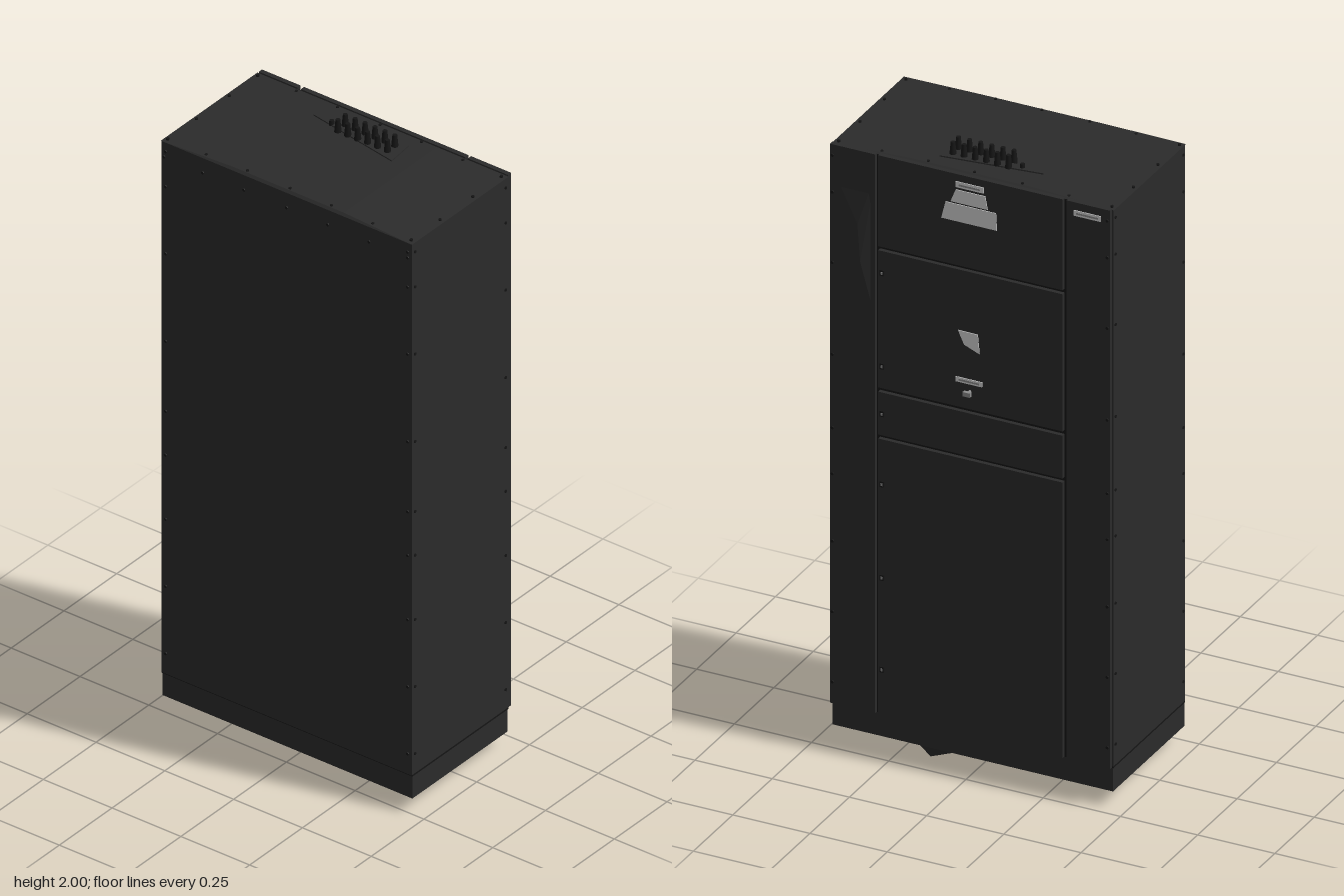
import * as THREE from 'three';
import { ConvexGeometry } from 'three/addons/geometries/ConvexGeometry.js';

const flat = (name, color) => {
  const m = new THREE.MeshStandardMaterial({ color });
  m.name = name;
  return m;
};

export function createModel() {
  const charcoal = flat('charcoal steel', 0x2b2b2b);
  const black = flat('black seam', 0x151515);
  const white = flat('label white', 0xd2d2d2);
  const grey = flat('latch grey', 0x8c8c8c);

  const root = new THREE.Group();
  root.name = 'cabinet';
  const add = (name, geo, mat, parent = root) => {
    const mesh = new THREE.Mesh(geo, mat);
    mesh.name = name;
    parent.add(mesh);
    return mesh;
  };
  const group = (name) => {
    const g = new THREE.Group();
    g.name = name;
    root.add(g);
    return g;
  };
  // Box given by its minimum and maximum on each axis
  const box = (name, mat, x0, x1, y0, y1, z0, z1, parent) => {
    const m = add(name, new THREE.BoxGeometry(x1 - x0, y1 - y0, z1 - z0), mat, parent);
    m.position.set((x0 + x1) / 2, (y0 + y1) / 2, (z0 + z1) / 2);
    return m;
  };
  const hull = (name, mat, points, parent) =>
    add(name, new ConvexGeometry(points.map((p) => new THREE.Vector3(...p))), mat, parent);

  // Main enclosure with a very shallow crown on the roof
  box('body', charcoal, -0.248, 0.207, 0.13, 1.95, -0.455, 0.455);
  hull('roof', charcoal, [
    [-0.248, 1.95, -0.458], [0.21, 1.95, -0.458], [-0.248, 1.95, 0.455], [0.21, 1.95, 0.455],
    [-0.24, 1.957, -0.2], [0.2, 1.957, -0.2], [-0.24, 1.957, 0.2], [0.2, 1.957, 0.2],
  ]);
  box('panelSeam', black, 0.206, 0.212, 0.13, 1.95, -0.45, 0.45);

  // Door side: two full-height strips and four panels between them
  const doors = group('doorPanels');
  box('leftStrip', charcoal, 0.21, 0.225, 0.13, 1.955, 0.307, 0.453, doors);
  box('rightStrip', charcoal, 0.21, 0.225, 0.13, 1.955, -0.453, -0.313, doors);
  for (const [name, y0, y1] of [
    ['lowerDoor', 0.13, 1.03], ['middlePanel', 1.043, 1.183],
    ['upperDoor', 1.197, 1.645], ['headPanel', 1.658, 1.955],
  ]) box(name, charcoal, 0.21, 0.225, y0, y1, -0.3, 0.297, doors);

  // Slight bulge in the left strip
  hull('stripBulge', charcoal, [
    [0.22, 1.42, 0.31], [0.22, 1.42, 0.45], [0.22, 1.88, 0.31], [0.22, 1.88, 0.45],
    [0.236, 1.6, 0.35], [0.234, 1.72, 0.36],
  ], doors);

  // Plinth: open frame with cross bars
  const plinth = group('plinth');
  for (const s of [-1, 1]) {
    box('plinthEnd', charcoal, -0.245, 0.207, 0.05, 0.13, s * 0.4375 - 0.0165, s * 0.4375 + 0.0165, plinth);
  }
  box('plinthRail', charcoal, -0.245, -0.215, 0.05, 0.13, -0.425, 0.425, plinth);
  box('plinthRail', charcoal, 0.177, 0.207, 0.05, 0.13, -0.425, 0.425, plinth);
  for (const z of [-0.3, -0.15, 0, 0.15, 0.3]) {
    box('crossBar', charcoal, -0.22, 0.18, 0.065, 0.13, z - 0.03, z + 0.03, plinth);
  }
  box('plinthFloor', black, -0.22, 0.18, 0.122, 0.131, -0.42, 0.42, plinth);
  box('plinthSeam', black, -0.247, 0.209, 0.127, 0.132, -0.456, 0.456, plinth);

  // Bent plate hanging under the plinth
  hull('underPlate', charcoal, [
    [-0.24, 0.05, 0.11], [0.17, 0, 0.155], [0.2, 0.05, 0.06], [0.2, 0.05, 0.18],
  ], plinth);

  // Cable gland plate and studs on the roof
  const glands = group('cableGlands');
  const plate = new THREE.Shape([[0.118, 0.183], [0.06, -0.145], [0.155, -0.135]]
    .map(([x, y]) => new THREE.Vector2(x, y)));
  const plateGeo = new THREE.ExtrudeGeometry(plate, { depth: 0.006, bevelEnabled: false });
  plateGeo.rotateX(-Math.PI / 2);
  add('glandPlate', plateGeo, charcoal, glands).position.y = 1.955;
  const studGeo = new THREE.CylinderGeometry(0.007, 0.011, 0.042, 8);
  const stud = (x, z) => add('stud', studGeo, black, glands).position.set(x, 1.979, z);
  for (let i = 0; i < 6; i++) for (const x of [0.092, 0.127]) stud(x, -0.075 + i * 0.036);
  add('shortStud', studGeo, black, glands).position.set(0.111, 1.952, -0.112);

  // Small screws around roof, ends, back and doors
  const screws = group('screws');
  const screwGeo = new THREE.CylinderGeometry(0.005, 0.005, 0.006, 6);
  const screw = (x, y, z, axis) => {
    const m = add('screw', screwGeo, black, screws);
    m.position.set(x, y, z);
    if (axis === 'x') m.rotation.z = Math.PI / 2;
    if (axis === 'z') m.rotation.x = Math.PI / 2;
  };
  for (const z of [-0.445, -0.305, -0.155, 0, 0.15, 0.3, 0.44]) {
    const y = Math.abs(z) < 0.2 ? 1.957 : 1.953;
    screw(-0.232, y, z);
    screw(0.195, y, z);
    screw(-0.248, 1.9, z, 'x');
  }
  for (const z of [-0.445, 0.44]) for (const x of [-0.095, 0.06]) screw(x, 1.952, z);
  for (const y of [0.2, 0.43, 0.66, 0.88, 1.03, 1.27, 1.57, 1.8, 1.92]) {
    for (const s of [-1, 1]) {
      for (const x of [-0.235, 0.195]) screw(x, y, s * 0.455, 'z');
      screw(-0.248, y, s * 0.44, 'x');
      screw(0.225, y, s * 0.445, 'x');
    }
  }

  // Door hinge pins
  for (const y of [0.28, 0.58, 0.885, 1.115, 1.27, 1.575]) {
    box('hingeDot', black, 0.224, 0.23, y - 0.009, y + 0.009, 0.277, 0.291, screws);
    box('hingePin', grey, 0.228, 0.232, y - 0.004, y + 0.004, 0.28, 0.286, screws);
  }

  // Labels: thin plates drawn as [z, y] outlines on the door side
  const labels = group('labels');
  const label = (name, pts) => {
    const s = new THREE.Shape(pts.map(([z, y]) => new THREE.Vector2(-z, y)));
    const g = new THREE.ExtrudeGeometry(s, { depth: 0.003, bevelEnabled: false });
    g.rotateY(Math.PI / 2);
    add(name, g, white, labels).position.x = 0.2245;
  };
  const strip = (name, z0, z1, y0, y1) => label(name, [[z0, y0], [z1, y0], [z1, y1], [z0, y1]]);
  strip('headLabelTop', 0.045, -0.045, 1.913, 1.932);
  label('headLabelMiddle', [[0.062, 1.863], [-0.058, 1.863], [-0.05, 1.905], [0.045, 1.905]]);
  label('headLabelBottom', [[0.092, 1.802], [-0.088, 1.802], [-0.085, 1.858], [0.078, 1.858]]);
  strip('cornerLabel', -0.337, -0.425, 1.912, 1.93);
  strip('doorLabel', 0.045, -0.04, 1.279, 1.295);
  label('doorEmblem', [[0.038, 1.448], [0.018, 1.405], [-0.032, 1.385], [-0.026, 1.447]]);
  for (const [z, y, w] of [[0, 1.922, 0.07], [-0.381, 1.921, 0.07], [0.002, 1.287, 0.065]]) {
    box('labelBand', grey, 0.227, 0.2285, y - 0.003, y + 0.003, z - w / 2, z + w / 2, labels);
  }

  // Latch knob on the upper door
  const latch = group('latch');
  const stem = add('latchStem', new THREE.CylinderGeometry(0.005, 0.005, 0.02, 8), grey, latch);
  stem.rotation.z = Math.PI / 2;
  stem.position.set(0.234, 1.255, 0);
  box('latchGrip', grey, 0.238, 0.249, 1.248, 1.262, -0.012, 0.012, latch);

  return root;
}
